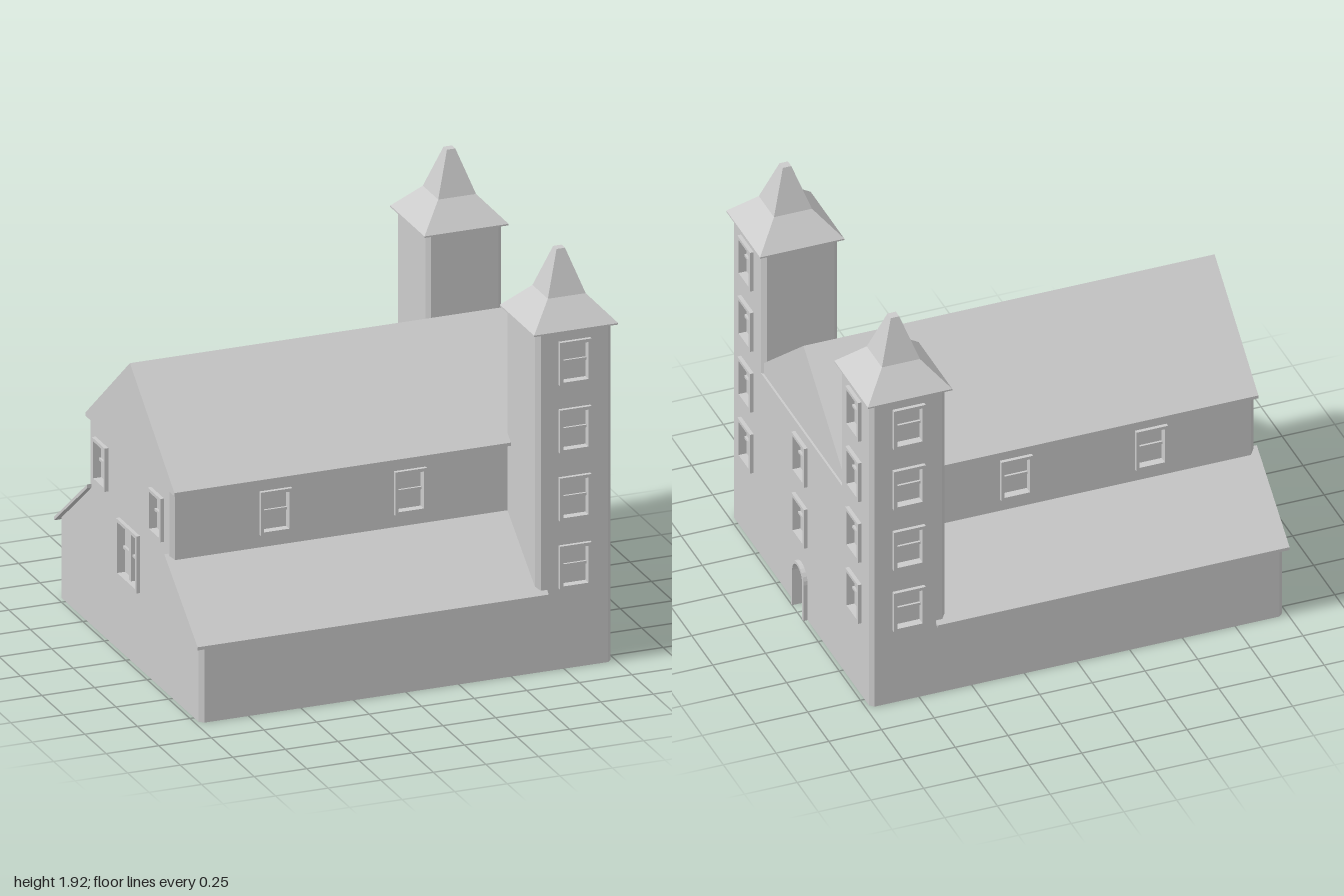
import * as THREE from 'three';

const mat = new THREE.MeshStandardMaterial({ color: 0xcccccc, flatShading: true });
const T = 0.03;                              // wall thickness
const ROWS = [0.485, 0.808, 1.13, 1.45];     // window centre heights

function add(parent, name, geo) {
  const m = new THREE.Mesh(geo, mat);
  m.name = name;
  parent.add(m);
  return m;
}

function box(parent, name, w, h, d, x, y, z) {
  const m = add(parent, name, new THREE.BoxGeometry(w, h, d));
  m.position.set(x, y, z);
  return m;
}

const polygon = (pts) => new THREE.Shape(pts.map(([x, y]) => new THREE.Vector2(x, y)));

function rectPath(x, y, w, h) {
  const p = new THREE.Path();
  p.moveTo(x - w / 2, y - h / 2).lineTo(x + w / 2, y - h / 2)
    .lineTo(x + w / 2, y + h / 2).lineTo(x - w / 2, y + h / 2).closePath();
  return p;
}

function plate(shape, from, depth) {
  return new THREE.ExtrudeGeometry(shape, { depth, bevelEnabled: false, curveSegments: 12 })
    .translate(0, 0, from);
}

// Profile given as [z, y], swept along x from x0 to x1
function sweepX(pts, x0, x1) {
  return new THREE.ExtrudeGeometry(polygon(pts), { depth: x1 - x0, bevelEnabled: false })
    .rotateY(-Math.PI / 2).translate(x1, 0, 0);
}

// Framed sash window, outer wall surface at z = 0
function makeWindow(x, y, w, h, mullion) {
  const g = new THREE.Group();
  g.name = 'window';
  const ring = new THREE.Shape(rectPath(0, 0, w, h).getPoints());
  ring.holes.push(rectPath(0, 0, w - 0.03, h - 0.03));
  add(g, 'windowFrame', plate(ring, -0.042, 0.06));
  box(g, 'windowPane', w - 0.02, h - 0.02, 0.01, 0, 0, -0.025);
  box(g, 'sashBar', w - 0.02, 0.012, 0.022, 0, 0, -0.02);
  if (mullion) box(g, 'mullion', 0.022, h - 0.02, 0.03, 0, 0, -0.015);
  g.position.set(x, y, 0);
  return g;
}

// Wall plate with windows [x, y, w, h, mullion]; outer surface at local z = 0
function wall(parent, name, pts, windows, x, z, rotY) {
  const g = new THREE.Group();
  g.name = name;
  const shape = polygon(pts);
  for (const [wx, wy, w = 0.15, h = 0.205, mullion] of windows) {
    shape.holes.push(rectPath(wx, wy, w - 0.002, h - 0.002));
    g.add(makeWindow(wx, wy, w, h, mullion));
  }
  add(g, name + 'Panel', plate(shape, -T, T));
  g.position.set(x, 0, z);
  g.rotation.y = rotY;
  parent.add(g);
  return g;
}

// Diamond post that gives a wall corner its chamfer
function post(parent, x, z, y0, y1) {
  const m = add(parent, 'cornerPost', new THREE.CylinderGeometry(0.02, 0.02, y1 - y0, 4));
  m.position.set(x, (y0 + y1) / 2, z);
}

function archPoints(r, spring) {
  const pts = [[-r, 0], [r, 0]];
  for (let i = 0; i <= 12; i++) {
    const a = Math.PI * i / 12;
    pts.push([r * Math.cos(a), spring + r * Math.sin(a)]);
  }
  return pts;
}

export function createModel() {
  const model = new THREE.Group();
  model.name = 'church';

  // Entrance front with doorway cut into its lower edge
  const door = archPoints(0.06, 0.187).slice(2).reverse();
  const facadeWindows = [[0, ROWS[0]], [0, ROWS[1]]];
  for (const y of ROWS) facadeWindows.push([-0.64, y], [0.64, y]);
  const facade = wall(model, 'entranceWall', [
    [-0.8, 0], [-0.06, 0], ...door, [0.06, 0], [0.8, 0], [0.8, 1.6], [0.48, 1.6],
    [0.48, 0.965], [-0.48, 0.965], [-0.48, 1.6], [-0.8, 1.6],
  ], facadeWindows, 0.98, 0, Math.PI / 2);

  // Arched door surround
  const surround = polygon([
    [-0.075, 0], [-0.06, 0], ...door, [0.06, 0], ...archPoints(0.075, 0.187).slice(1),
  ]);
  add(facade, 'doorSurround', plate(surround, -0.042, 0.062));

  // Rear end wall
  wall(model, 'rearWall', [
    [-0.8, 0], [0.8, 0], [0.8, 0.38], [0.46, 0.64], [0.46, 0.97],
    [-0.46, 0.97], [-0.46, 0.64], [-0.8, 0.38],
  ], [[-0.325, ROWS[1]], [0.325, ROWS[1]], [0, 0.495, 0.24, 0.27, true]], -0.98, 0, -Math.PI / 2);

  // Nave roof
  add(model, 'naveRoof', sweepX(
    [[-0.52, 0.965], [0.52, 0.965], [0.52, 0.98], [0, 1.405], [-0.52, 0.98]], -0.98, 0.97));

  for (const s of [1, -1]) {
    const side = new THREE.Group();
    side.name = s > 0 ? 'frontSide' : 'backSide';
    model.add(side);
    const rot = s > 0 ? 0 : Math.PI;
    const flip = (pts) => pts.map(([x, y]) => [x * s, y]);

    // Aisle wall rising into the tower's outer face
    wall(side, 'aisleWall', flip([
      [-0.96, 0], [0.96, 0], [0.96, 1.6], [0.64, 1.6], [0.64, 0.375], [-0.96, 0.375],
    ]), ROWS.map((y) => [0.8 * s, y]), 0, 0.82 * s, rot);

    // Upper nave wall
    wall(side, 'naveWall', flip([[-0.96, 0.3], [0.955, 0.3], [0.955, 0.97], [-0.96, 0.97]]),
      [[-0.485 * s, ROWS[1]], [0.155 * s, ROWS[1]]], 0, 0.48 * s, rot);

    // Remaining tower faces
    wall(side, 'towerRearWall', [[0.48, 0.3], [0.8, 0.3], [0.8, 1.6], [0.48, 1.6]]
      .map(([z, y]) => [z * s, y]), [], 0.62, 0, -Math.PI / 2);
    wall(side, 'towerInnerWall', flip([[0.64, 0.97], [0.96, 0.97], [0.96, 1.6], [0.64, 1.6]])
      .map(([x, y]) => [-x, y]), [], 0, 0.46 * s, rot + Math.PI);

    // Chamfered corners
    post(side, 0.96, 0.8 * s, 0, 1.6);
    post(side, 0.64, 0.8 * s, 0.37, 1.6);
    post(side, 0.64, 0.48 * s, 0.6, 1.6);
    post(side, 0.96, 0.48 * s, 0.965, 1.6);
    post(side, -0.96, 0.8 * s, 0, 0.375);
    post(side, -0.96, 0.46 * s, 0.6, 0.97);

    // Lean-to roof and the flat ceiling beneath it
    add(side, 'aisleRoof', sweepX(
      [[0.84, 0.355], [0.84, 0.37], [0.45, 0.668], [0.45, 0.65]].map(([z, y]) => [z * s, y]),
      -1, 0.67));
    box(side, 'aisleCeiling', 1.92, 0.02, 0.34, 0, 0.31, 0.63 * s);

    // Low panels on the inside of the nave wall
    for (let i = 0; i < 4; i++) {
      box(side, 'innerPanel', 0.24, 0.1, 0.01, 0.155 - 0.325 * i, 0.53, 0.448 * s);
    }

    // Flared four-sided tower roof
    const profile = [[0, 1.6], [0.2, 1.6], [0.2, 1.607], [0.09, 1.725], [0.02, 1.925], [0, 1.925]]
      .map(([r, y]) => new THREE.Vector2(r * Math.SQRT2, y));
    const cap = add(side, 'towerRoof', new THREE.LatheGeometry(profile, 4, Math.PI / 4));
    cap.position.set(0.8, 0, 0.64 * s);
  }
  return model;
}
